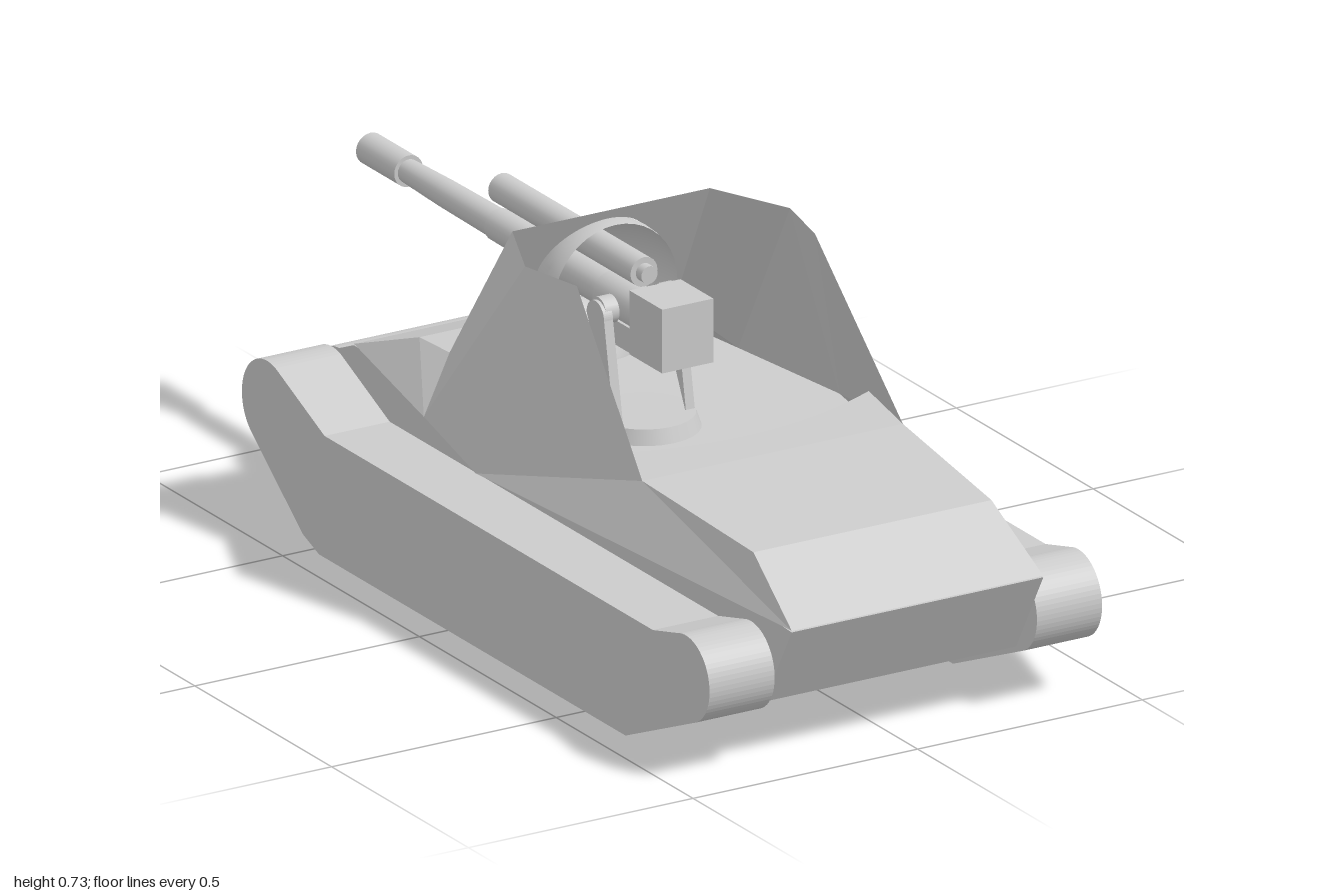
import * as THREE from 'three';

const grey = new THREE.MeshStandardMaterial({ color: 0xcccccc, side: THREE.DoubleSide });
const flat = new THREE.MeshStandardMaterial({ color: 0xcccccc, side: THREE.DoubleSide, flatShading: true });
const rad = THREE.MathUtils.degToRad;

function add(parent, name, geometry, material = flat) {
  const mesh = new THREE.Mesh(geometry, material);
  mesh.name = name;
  parent.add(mesh);
  return mesh;
}

// Flat plates from convex polygons with corners [x, y, z]
function plates(polygons) {
  const pos = [];
  for (const p of polygons)
    for (let i = 1; i < p.length - 1; i++) pos.push(...p[0], ...p[i], ...p[i + 1]);
  const g = new THREE.BufferGeometry();
  g.setAttribute('position', new THREE.Float32BufferAttribute(pos, 3));
  g.computeVertexNormals();
  return g;
}
const flip = ([x, y, z]) => [-x, y, z];
const mirrored = (polygons) => polygons.concat(polygons.map((p) => p.map(flip).reverse()));
const across = (a, b) => [a, b, flip(b), flip(a)];

// Side profile drawn in (z, y), extruded from x0 to x1
function sideExtrude(shape, x0, x1) {
  const g = new THREE.ExtrudeGeometry(shape, { depth: x1 - x0, bevelEnabled: false, curveSegments: 14 });
  return g.rotateY(-Math.PI / 2).translate(x1, 0, 0);
}

// Round tube along z, from z0 (radius r0) towards -z at z1 (radius r1)
function tubeZ(r0, r1, z0, z1, y) {
  return new THREE.CylinderGeometry(r1, r0, z0 - z1, 24)
    .rotateX(-Math.PI / 2).translate(0, y, (z0 + z1) / 2);
}

function trackShape() {
  const s = new THREE.Shape();
  s.moveTo(0.65, 0);
  s.lineTo(-0.47, 0);
  s.lineTo(-0.53, 0.022);
  s.absarc(-0.66, 0.24, 0.092, rad(228), rad(65), true);
  s.lineTo(-0.45, 0.248);
  s.lineTo(0.75, 0.248);
  s.absarc(0.87, 0.19, 0.087, rad(110), rad(-65), true);
  s.closePath();
  return s;
}

function lowerHullShape() {
  const s = new THREE.Shape();
  s.moveTo(0.9, 0.12);
  s.lineTo(-0.58, 0.12);
  s.absarc(-0.655, 0.24, 0.088, rad(235), rad(90), true);
  s.lineTo(-0.6, 0.352);
  s.lineTo(1, 0.294);
  s.closePath();
  return s;
}

function buildUpperHull(root) {
  // Corners of the left half
  const A = [0.22, 0.73, -0.12], B = [0.295, 0.73, 0.05], C = [0.265, 0.73, 0.19];
  const D = [0.25, 0.43, -0.3], E = [0.35, 0.342, -0.23], F = [0.405, 0.33, 0.05];
  const G = [0.29, 0.43, 0.47], H = [0.28, 0.355, -0.6], I = [0.28, 0.297, 1];
  const J = [0.265, 0.4, 0.835], K = [0.25, 0.425, -0.41];

  add(root, 'casemateSides', plates(mirrored([[A, E, D], [A, B, E], [B, F, E], [B, C, F], [C, G, F]])));
  add(root, 'hullSides', plates(mirrored([[G, I, F], [G, J, I], [D, E, K], [K, E, H]])));
  add(root, 'gunDeck', plates([across(D, K), across(K, H)]));
  add(root, 'endPlate', plates([across(I, J)]));
  add(root, 'compartmentFloor', plates([across(H, E), across(E, F), across(F, I)]));

  // Rear deck with a curved edge and bulkhead behind the compartment
  const deck = [across(J, G)], bulkhead = [], n = 20;
  const edge = (i) => {
    const t = (2 * i) / n - 1;
    return [0.325 * t, 0.43, 0.368 - 0.08 * t * t];
  };
  const line = (i) => [0.29 * ((2 * i) / n - 1), 0.43, 0.47];
  const low = ([x, , z]) => [x, 0.322, z - 0.012];
  for (let i = 0; i < n; i++) {
    const a = edge(i), b = edge(i + 1);
    deck.push([a, line(i), line(i + 1), b]);
    bulkhead.push([a, b, low(b), low(a)]);
  }
  add(root, 'rearDeck', plates(deck));
  add(root, 'compartmentBulkhead', plates(bulkhead));

  // Sloping gun plate with a round opening
  const s = new THREE.Shape([[-0.25, 0], [0.25, 0], [0.22, 0.35], [-0.22, 0.35]].map((p) => new THREE.Vector2(...p)));
  const hole = new THREE.Path();
  hole.absarc(0, 0.206, 0.118, 0, Math.PI * 2, true);
  s.holes.push(hole);
  const plate = add(root, 'gunPlate', new THREE.ShapeGeometry(s, 32));
  plate.rotation.x = Math.atan2(0.18, 0.3);
  plate.position.set(0, 0.43, -0.3);

  // Small hatch hood on the gun deck
  const hood = new THREE.Shape([[-0.41, 0.4], [-0.41, 0.428], [-0.54, 0.424], [-0.57, 0.36], [-0.5, 0.36]]
    .map((p) => new THREE.Vector2(...p)));
  add(root, 'hatchHood', sideExtrude(hood, 0.045, 0.165));
}

function buildGun(root) {
  const gun = new THREE.Group();
  gun.name = 'gun';
  root.add(gun);

  const ball = new THREE.SphereGeometry(0.14, 40, 20, 0, Math.PI * 2, 0, Math.PI * 0.56);
  add(gun, 'mantlet', ball.rotateX(-Math.PI / 2).translate(0, 0.567, -0.13), grey);

  // Main barrel in stepped sections: r0, r1, z0, z1
  const sections = [
    [0.037, 0.037, -0.1, -0.3], [0.035, 0.033, -0.3, -0.53],
    [0.03, 0.028, -0.53, -0.72], [0.028, 0.024, -0.72, -0.86], [0.032, 0.032, -0.86, -1],
  ];
  for (const [r0, r1, z0, z1] of sections) add(gun, 'barrel', tubeZ(r0, r1, z0, z1, 0.565), grey);
  add(gun, 'recoilTube', tubeZ(0.03, 0.03, 0, -0.52, 0.643), grey);
  add(gun, 'recoilTubeCap', tubeZ(0.018, 0.018, 0.02, 0, 0.643), grey);

  // Breech and cradle
  add(gun, 'breech', new THREE.BoxGeometry(0.114, 0.13, 0.12).translate(0, 0.565, 0.1));
  add(gun, 'breechTube', tubeZ(0.042, 0.042, 0.06, -0.12, 0.565), grey);
  add(gun, 'cradle', new THREE.BoxGeometry(0.08, 0.05, 0.2).translate(0, 0.515, -0.03));

  // Trunnion arms with rounded tops, on a pedestal
  const arm = new THREE.Shape();
  arm.moveTo(-0.045, 0.35);
  arm.absarc(-0.03, 0.56, 0.032, Math.PI, 0, true);
  arm.lineTo(0.04, 0.35);
  arm.closePath();
  for (const side of [-1, 1]) {
    add(gun, 'trunnionArm', sideExtrude(arm, side * 0.08 - 0.01, side * 0.08 + 0.01));
    const pin = new THREE.CylinderGeometry(0.028, 0.028, 0.03, 20).rotateZ(Math.PI / 2);
    add(gun, 'trunnionPin', pin.translate(side * 0.068, 0.57, -0.03), grey);
  }
  add(gun, 'pedestal', new THREE.CylinderGeometry(0.1, 0.11, 0.03, 28).translate(0, 0.345, 0), grey);
}

export function createModel() {
  const root = new THREE.Group();
  root.name = 'armouredVehicle';

  for (const [name, x0, x1] of [['leftTrack', 0.292, 0.437], ['rightTrack', -0.437, -0.292]])
    add(root, name, sideExtrude(trackShape(), x0, x1));
  add(root, 'lowerHull', sideExtrude(lowerHullShape(), -0.28, 0.28));

  buildUpperHull(root);
  buildGun(root);
  return root;
}
